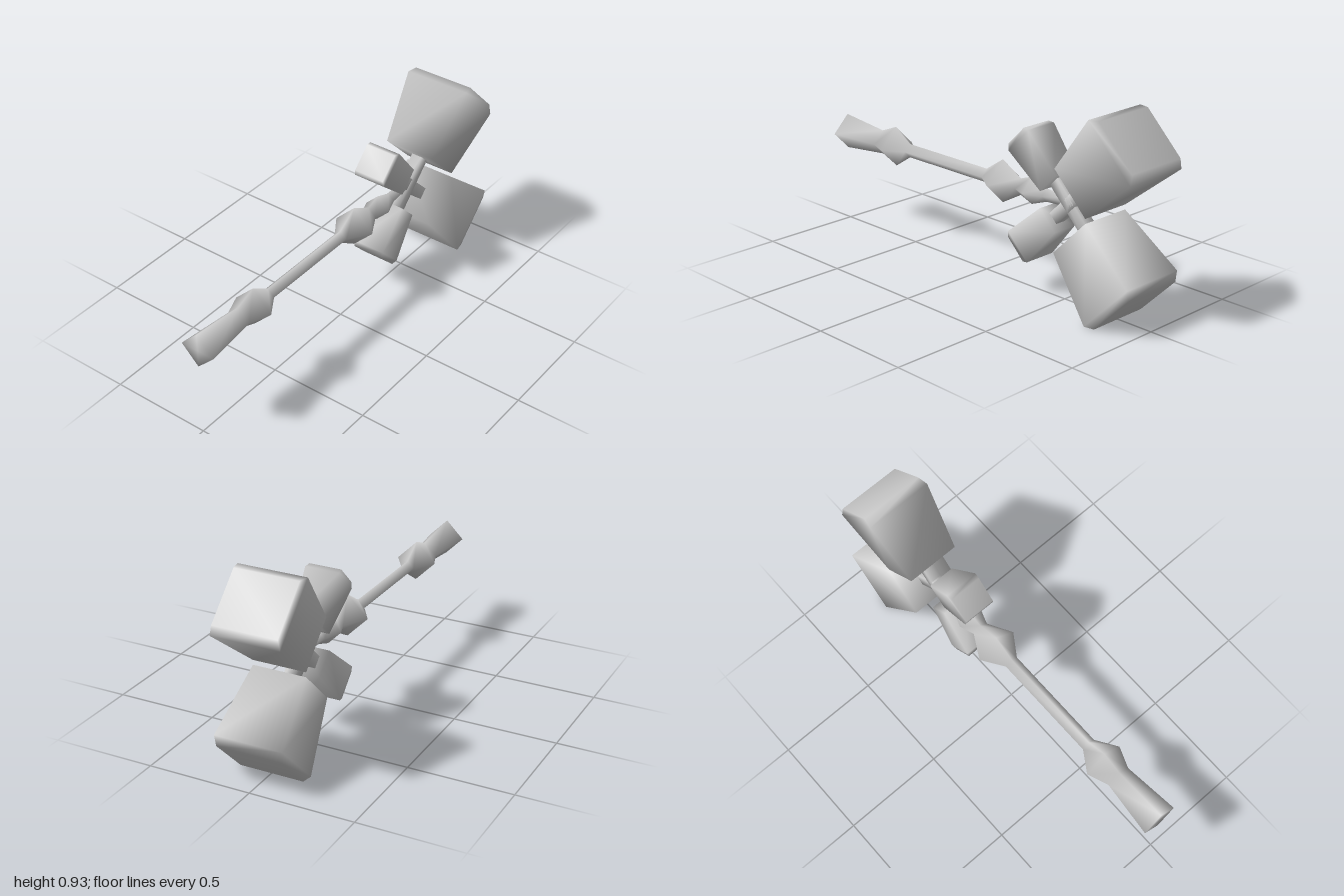
import * as THREE from 'three';
import { mergeVertices } from 'three/addons/utils/BufferGeometryUtils.js';

const CX = 0.533, CY = 0.465; // where the two arms cross

// weld the corners so the shading runs smoothly over every edge
function smooth(geometry) {
  geometry.deleteAttribute('uv');
  geometry.deleteAttribute('normal');
  const welded = mergeVertices(geometry);
  welded.computeVertexNormals();
  return welded;
}

// four-sided solid spun around y; profile points are [radius, height]
function fourSided(profile) {
  return smooth(new THREE.LatheGeometry(profile.map(([r, h]) => new THREE.Vector2(r, h)), 4));
}

// block with a square section, tapered inwards and chamfered at the outer end,
// from y = 0 to y = length
function taperedBlock(half, length) {
  const rings = [ // height, half width, half depth
    [0, 0.775, 0.785],
    [0.906, 1, 1],
    [1, 0.79, 0.94],
  ];
  const g = new THREE.BoxGeometry(2, 2, 2, 1, 2, 1);
  const p = g.attributes.position;
  for (let i = 0; i < p.count; i++) {
    const [h, w, d] = rings[Math.round(p.getY(i)) + 1];
    p.setXYZ(i, p.getX(i) * w * half, h * length, p.getZ(i) * d * half);
  }
  return smooth(g);
}

export function createModel() {
  const model = new THREE.Group();
  const grey = new THREE.MeshStandardMaterial({ color: 0xcccccc });
  grey.name = 'light grey';

  const add = (name, geometry, angle, x, y) => {
    const mesh = new THREE.Mesh(geometry, grey);
    mesh.name = name;
    mesh.rotation.z = angle - Math.PI / 2; // turn the y axis to the given angle
    mesh.position.set(x, y, 0);
    model.add(mesh);
  };

  // handle with flared pommel, grip and collars
  add('handle', fourSided([
    [0, -1], [0.088, -1], [0.06, -0.73], [0.099, -0.63], [0.034, -0.53], [0.034, 0],
    [0.104, 0.105], [0.04, 0.22], [0.065, 0.29], [0.032, 0.38], [0.022, CX], [0, CX],
  ]), 0, 0, CY);

  for (const side of [1, -1]) {
    const prefix = side > 0 ? 'upper' : 'lower';
    const front = side * Math.PI / 4, back = side * 3 * Math.PI / 4;

    // square arm running through the crossing to a large and a small head
    add(prefix + 'Arm', smooth(new THREE.BoxGeometry(0.058, 0.36, 0.058)), front, CX, CY);

    // large head at the tip
    add(prefix + 'LargeHead', taperedBlock(0.166, 0.382), front,
      CX + 0.145 * Math.cos(front), CY + 0.145 * Math.sin(front));

    // small head facing back along the handle
    add(prefix + 'SmallHead', taperedBlock(0.084, 0.258), back,
      CX + 0.122 * Math.cos(back), CY + 0.122 * Math.sin(back));
  }
  return model;
}
